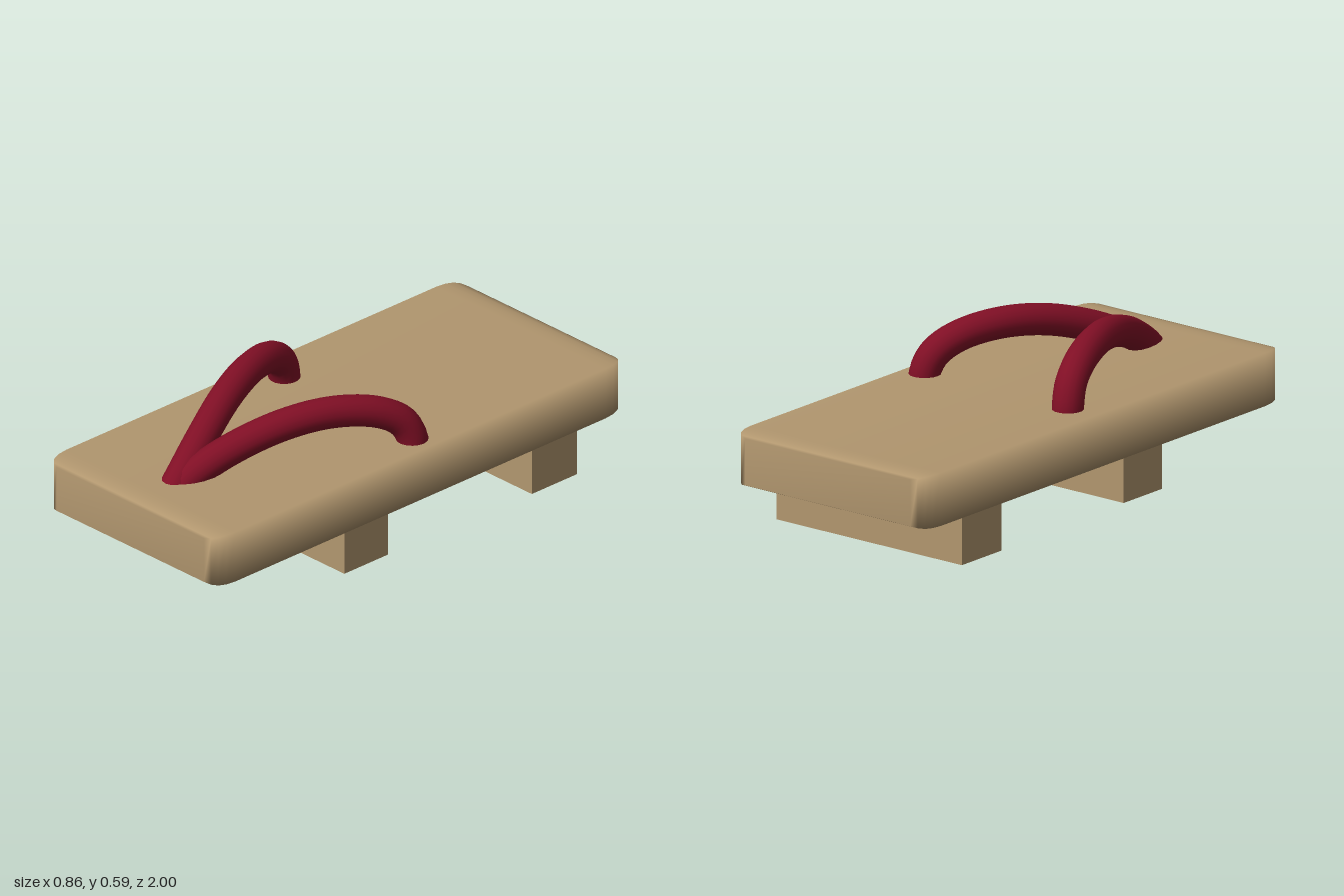
import * as THREE from 'three';
import { mergeVertices } from 'three/addons/utils/BufferGeometryUtils.js';

export function createModel() {
  const group = new THREE.Group();
  const wood = new THREE.MeshStandardMaterial({ color: 0xb2976f });
  wood.name = 'wood';
  const red = new THREE.MeshStandardMaterial({ color: 0x800f25 });
  red.name = 'red cloth';

  const add = (name, geometry, material) => {
    const mesh = new THREE.Mesh(geometry, material);
    mesh.name = name;
    group.add(mesh);
    return mesh;
  };

  // Sole: a long board whose ends narrow in rounded corners, smooth shaded.
  // Each station is [z, half width, half height].
  const ends = [[0.9, 0.432, 0.098], [0.94, 0.428, 0.097], [0.97, 0.418, 0.095], [0.99, 0.4, 0.091], [1, 0.375, 0.086]];
  const stations = [...ends.map(([z, w, h]) => [-z, w, h]).reverse(), ...ends];
  let board = new THREE.BoxGeometry(2, 2, 2, 1, 1, stations.length - 1);
  const p = board.attributes.position;
  for (let i = 0; i < p.count; i++) {
    const k = Math.round((p.getZ(i) + 1) / 2 * (stations.length - 1));
    const [z, w, h] = stations[k];
    p.setXYZ(i, p.getX(i) * w, 0.277 + p.getY(i) * h, z);
  }
  board.deleteAttribute('normal');
  board.deleteAttribute('uv');
  board = mergeVertices(board);
  board.computeVertexNormals();
  add('sole', board, wood);

  // Teeth: two cross bars under the sole
  const tooth = (name, halfWidth, y0, z0, z1) => {
    const height = 0.2 - y0;
    add(name, new THREE.BoxGeometry(halfWidth * 2, height, z1 - z0), wood)
      .position.set(0, y0 + height / 2, (z0 + z1) / 2);
  };
  tooth('frontTooth', 0.411, 0.004, 0.14, 0.352);
  tooth('backTooth', 0.421, 0, -0.77, -0.55);

  // Straps: two arched tubes meeting in a V at the toe
  const strap = (name, points) => {
    const curve = new THREE.CatmullRomCurve3(points.map(q => new THREE.Vector3(...q)));
    add(name, new THREE.TubeGeometry(curve, 40, 0.057, 16), red);
  };
  strap('rightStrap', [
    [-0.005, 0.33, 0.79], [-0.015, 0.375, 0.735], [-0.06, 0.45, 0.6], [-0.14, 0.518, 0.4],
    [-0.21, 0.536, 0.22], [-0.265, 0.508, 0.07], [-0.293, 0.455, -0.01], [-0.305, 0.39, -0.039], [-0.306, 0.32, -0.042]]);
  strap('leftStrap', [
    [0.0, 0.33, 0.77], [0.014, 0.37, 0.725], [0.06, 0.44, 0.6], [0.14, 0.507, 0.4],
    [0.215, 0.524, 0.22], [0.285, 0.497, 0.07], [0.325, 0.447, -0.01], [0.344, 0.385, -0.039], [0.348, 0.32, -0.042]]);

  return group;
}
